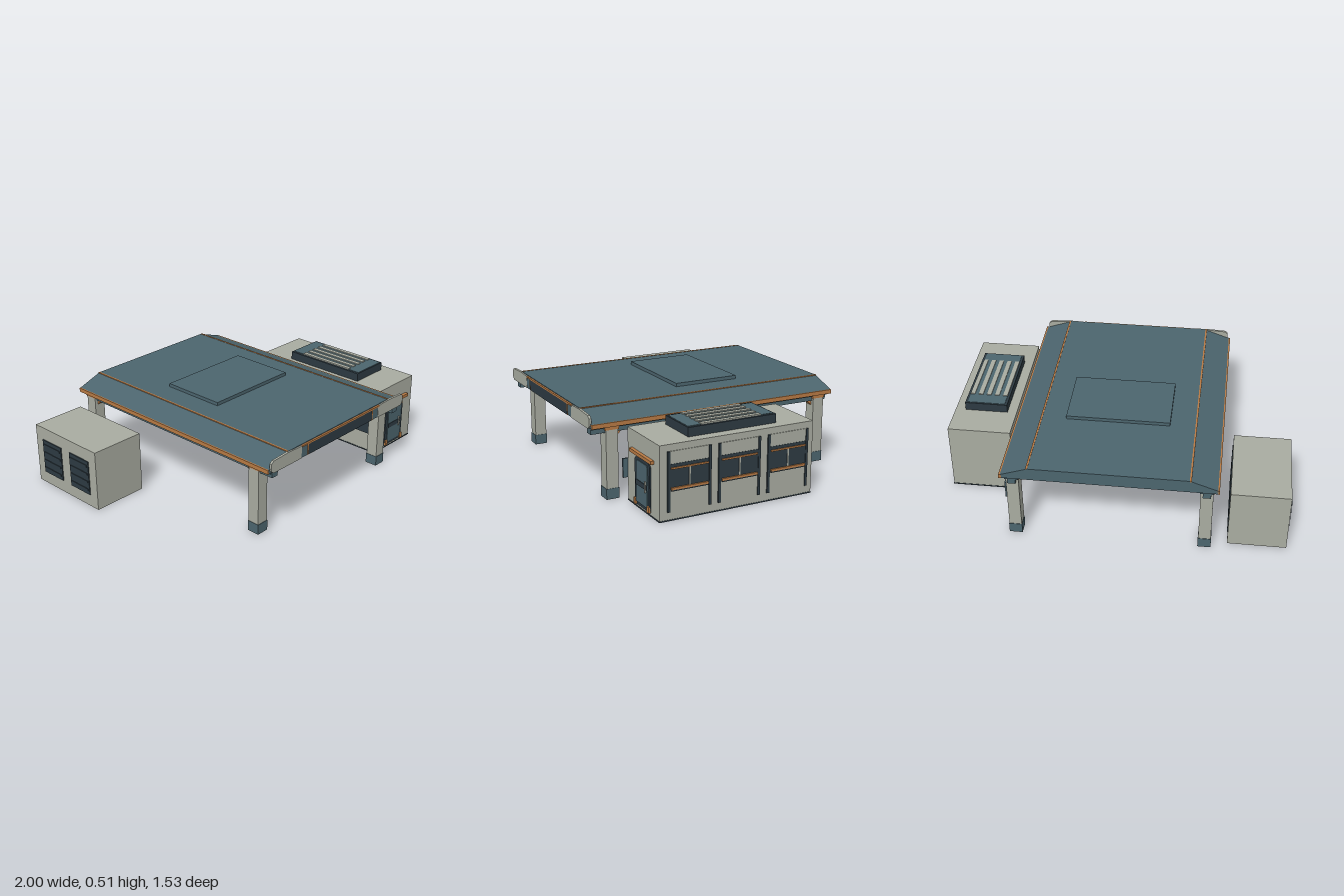
import * as THREE from 'three';

const flat = (name, color) => {
  const m = new THREE.MeshStandardMaterial({ color });
  m.name = name;
  return m;
};

export function createModel() {
  const grey = flat('pale concrete', 0xa9aca1);
  const teal = flat('slate teal', 0x4c656e);
  const dark = flat('dark metal', 0x2d3a42);
  const orange = flat('copper trim', 0xb87a44);

  const model = new THREE.Group();
  const part = (name) => {
    const g = new THREE.Group();
    g.name = name;
    model.add(g);
    return g;
  };
  // Box given by its limits on each axis
  const box = (parent, name, mat, [x0, x1], [y0, y1], [z0, z1]) => {
    const mesh = new THREE.Mesh(new THREE.BoxGeometry(x1 - x0, y1 - y0, z1 - z0), mat);
    mesh.position.set((x0 + x1) / 2, (y0 + y1) / 2, (z0 + z1) / 2);
    mesh.name = name;
    parent.add(mesh);
    return mesh;
  };
  // Outline in x and y, extruded from z0 to z1
  const prism = (parent, name, mat, points, z0, z1) => {
    const shape = new THREE.Shape(points.map(([x, y]) => new THREE.Vector2(x, y)));
    const geo = new THREE.ExtrudeGeometry(shape, { depth: z1 - z0, bevelEnabled: false });
    geo.translate(0, 0, z0);
    const mesh = new THREE.Mesh(geo, mat);
    mesh.name = name;
    parent.add(mesh);
    return mesh;
  };
  const span = (c, w) => [c - w / 2, c + w / 2];
  const mirrored = (s, a, b) => (s > 0 ? [a, b] : [-b, -a]);

  // Canopy roof with sloping sides
  const roof = part('canopyRoof');
  prism(roof, 'roofShell', teal, [
    [-0.59, 0.418], [0.59, 0.418], [0.597, 0.438], [0.44, 0.493], [-0.44, 0.493], [-0.597, 0.438],
  ], -0.765, 0.757);
  box(roof, 'ceiling', grey, [-0.572, 0.572], [0.412, 0.419], [-0.75, 0.752]);
  box(roof, 'roofHatch', teal, [-0.295, 0.3], [0.49, 0.513], [-0.295, 0.1]);
  for (const s of [-1, 1]) {
    box(roof, 'roofSeam', orange, span(s * 0.443, 0.01), [0.485, 0.495], [-0.765, 0.757]);
    box(roof, 'edgeTrim', orange, mirrored(s, 0.585, 0.6), [0.416, 0.44], [-0.765, 0.757]);
    // Clipped end caps of the front fascia
    const cap = [
      [0.34, 0.415], [0.565, 0.415], [0.582, 0.43], [0.582, 0.472], [0.565, 0.486], [0.45, 0.492], [0.34, 0.488],
    ].map(([x, y]) => [s * x, y]);
    prism(roof, 'fasciaCap', grey, cap, 0.752, 0.766);
    box(roof, 'fasciaPanel', teal, mirrored(s, 0.285, 0.34), [0.416, 0.482], [0.752, 0.764]);
    box(roof, 'fasciaDivider', orange, span(s * 0.286, 0.006), [0.416, 0.482], [0.752, 0.767]);
  }
  box(roof, 'fasciaBoard', dark, [-0.284, 0.284], [0.416, 0.48], [0.752, 0.766]);
  box(roof, 'fasciaTrim', orange, [-0.34, 0.35], [0.48, 0.489], [0.752, 0.768]);

  // Columns, long beams and diagonal braces
  const frame = part('canopyFrame');
  for (const x of [-0.533, 0.533]) {
    box(frame, 'longBeam', teal, span(x, 0.045), [0.374, 0.405], [-0.755, 0.747]);
    box(frame, 'beamFlange', teal, span(x, 0.075), [0.403, 0.414], [-0.755, 0.747]);
    for (const [z, inward] of [[0.629, -1], [-0.699, 1]]) {
      box(frame, 'column', grey, span(x, 0.07), [0, 0.414], span(z, 0.07));
      box(frame, 'columnFoot', teal, span(x, 0.074), [0, 0.06], span(z, 0.075));
      box(frame, 'columnCollar', orange, span(x, 0.076), [0.39, 0.41], span(z, 0.08));
      const brace = box(frame, 'brace', orange, span(x, 0.03), span(0.37, 0.014), span(z + inward * 0.05, 0.075));
      brace.rotation.x = -inward * 0.75;
    }
  }

  // Long kiosk
  const kiosk = part('kiosk');
  box(kiosk, 'kioskWalls', grey, [0.62, 0.985], [0.006, 0.412], [-0.365, 0.562]);
  box(kiosk, 'kioskBase', dark, [0.618, 0.987], [0, 0.007], [-0.367, 0.564]);

  // Three window bays on the kiosk's outer side
  for (const z of [0.392, 0.095, -0.205]) {
    box(kiosk, 'bayPanel', grey, [0.98, 0.989], [0.05, 0.375], span(z, 0.24));
    for (const s of [-1, 1]) {
      box(kiosk, 'bayPost', dark, [0.98, 0.994], [0.05, 0.375], span(z + s * 0.12, 0.014));
    }
    box(kiosk, 'windowGlass', dark, [0.985, 0.991], [0.17, 0.307], span(z, 0.23));
    box(kiosk, 'windowMullion', grey, [0.985, 0.994], [0.18, 0.283], span(z, 0.008));
    box(kiosk, 'windowHead', orange, [0.985, 0.997], [0.28, 0.289], span(z, 0.215));
    box(kiosk, 'windowSill', orange, [0.985, 1.0], [0.17, 0.182], span(z, 0.215));
    box(kiosk, 'sillLip', dark, [0.985, 0.998], [0.163, 0.17], span(z, 0.215));
  }

  // Front door with clipped frame and small awning
  const door = part('kioskDoor');
  prism(door, 'doorFrame', dark, [
    [0.716, 0.02], [0.89, 0.02], [0.89, 0.268], [0.872, 0.288], [0.734, 0.288], [0.716, 0.268],
  ], 0.555, 0.569);
  prism(door, 'doorLeaf', teal, [
    [0.738, 0.038], [0.868, 0.038], [0.868, 0.255], [0.857, 0.27], [0.749, 0.27], [0.738, 0.255],
  ], 0.56, 0.573);
  box(door, 'doorBar', dark, [0.74, 0.866], [0.135, 0.163], [0.56, 0.576]);
  box(door, 'doorHandle', grey, [0.845, 0.853], [0.12, 0.18], [0.56, 0.58]);
  box(door, 'doorAwning', orange, [0.675, 0.925], [0.296, 0.315], [0.555, 0.582]);
  for (const x of [0.727, 0.88]) {
    box(door, 'doorFoot', orange, span(x, 0.02), [0.02, 0.053], [0.555, 0.578]);
  }

  // Ventilation unit on the kiosk roof
  const vent = part('roofVent');
  box(vent, 'ventCasing', dark, [0.675, 0.925], [0.41, 0.462], [-0.167, 0.366]);
  box(vent, 'ventTop', teal, [0.69, 0.91], [0.46, 0.465], [-0.16, 0.36]);
  for (let i = -2; i <= 2; i++) {
    box(vent, 'ventSlat', grey, span(0.8 + i * 0.049, 0.026), [0.462, 0.47], [-0.08, 0.283]);
  }

  // Row of display panels beside the kiosk
  const displays = part('displayPanels');
  for (let i = 0; i < 4; i++) {
    const z = -0.497 + i * 0.331;
    box(displays, 'displayBack', teal, [0.61, 0.616], [0.128, 0.235], span(z, 0.185));
    box(displays, 'displayFace', dark, [0.604, 0.61], [0.128, 0.235], span(z, 0.185));
  }

  // Separate equipment shed
  const shed = part('equipmentShed');
  box(shed, 'shedWalls', grey, [-0.99, -0.66], [0, 0.36], [-0.692, -0.165]);
  box(shed, 'shedShutter', dark, [-0.664, -0.656], [0.05, 0.316], [-0.655, -0.2]);
  for (const z of [-0.548, -0.308]) {
    box(shed, 'louverFrame', dark, [-0.996, -0.985], [0.075, 0.285], span(z, 0.165));
    for (let i = 0; i < 4; i++) {
      box(shed, 'louverSlat', dark, [-1.0, -0.99], span(0.105 + i * 0.05, 0.012), span(z, 0.145));
    }
  }
  return model;
}
